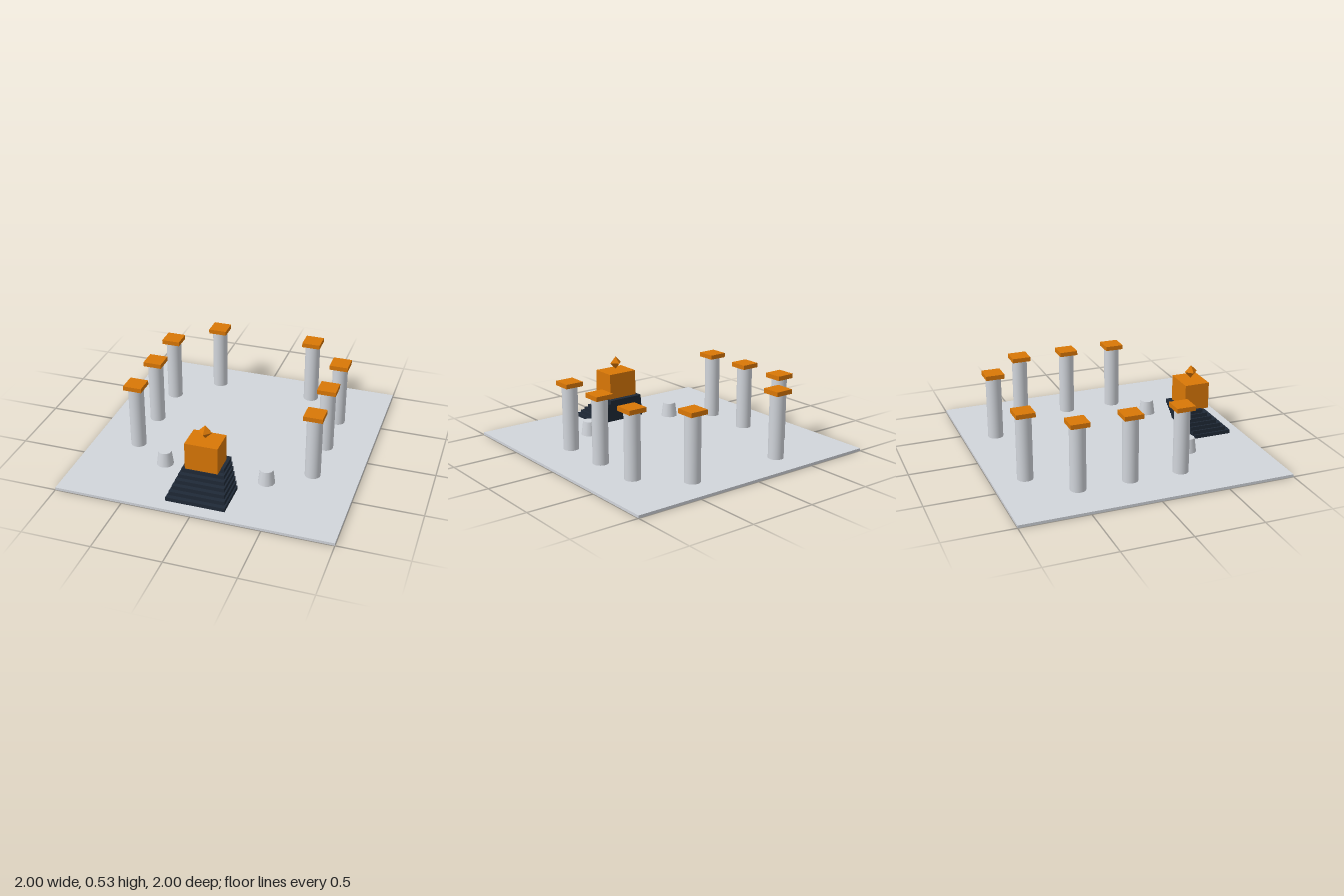
import * as THREE from 'three';

export function createModel() {
  const root = new THREE.Group();
  root.name = 'columnCourt';

  const material = (name, color) => {
    const m = new THREE.MeshStandardMaterial({ color });
    m.name = name;
    return m;
  };
  const stone = material('pale grey stone', 0xd1d5db);
  const dark = material('dark slate', 0x1f2937);
  const amber = material('amber', 0xd97706);

  const add = (parent, name, geometry, mat, x, y, z) => {
    const mesh = new THREE.Mesh(geometry, mat);
    mesh.name = name;
    mesh.position.set(x, y, z);
    parent.add(mesh);
    return mesh;
  };

  // Floor slab
  const floorTop = 0.019;
  add(root, 'floor', new THREE.BoxGeometry(2, floorTop, 2), stone, 0, floorTop / 2, 0);

  // Columns with square capitals, mirrored left and right
  const shaftHeight = 0.476, capHeight = 0.033;
  const shaft = new THREE.CylinderGeometry(0.057, 0.057, shaftHeight, 20);
  const cap = new THREE.BoxGeometry(0.138, capHeight, 0.138);
  const spots = [[0.667, 0.286], [0.667, -0.095], [0.667, -0.476], [0.381, -0.762]];
  // Low tapered pedestals
  const pedestalHeight = 0.107;
  const pedestal = new THREE.CylinderGeometry(0.048, 0.062, pedestalHeight, 12);

  for (const side of [-1, 1]) {
    for (const [x, z] of spots) {
      const column = new THREE.Group();
      column.name = 'column';
      column.position.set(side * x, floorTop, z);
      add(column, 'columnShaft', shaft, stone, 0, shaftHeight / 2, 0);
      add(column, 'columnCapital', cap, amber, 0, shaftHeight + capHeight / 2, 0);
      root.add(column);
    }
    add(root, 'pedestal', pedestal, stone, side * 0.381, floorTop + pedestalHeight / 2, 0.476);
  }

  // Stepped base: each step is smaller and set further back
  const stairs = new THREE.Group();
  stairs.name = 'stairs';
  root.add(stairs);
  const stepHeight = 0.0286;
  for (let i = 0; i < 7; i++) {
    const step = new THREE.BoxGeometry(0.4286 - i * 0.0238, stepHeight, 0.2857 - i * 0.019);
    add(stairs, 'step', step, dark, 0, floorTop + stepHeight * (i + 0.5), 0.762 - i * 0.0238);
  }

  // Altar block with a floating gem
  add(root, 'altar', new THREE.BoxGeometry(0.238, 0.202, 0.19), amber, 0, 0.314, 0.667);
  add(root, 'gem', new THREE.OctahedronGeometry(0.05), amber, 0, 0.476, 0.667);

  return root;
}
